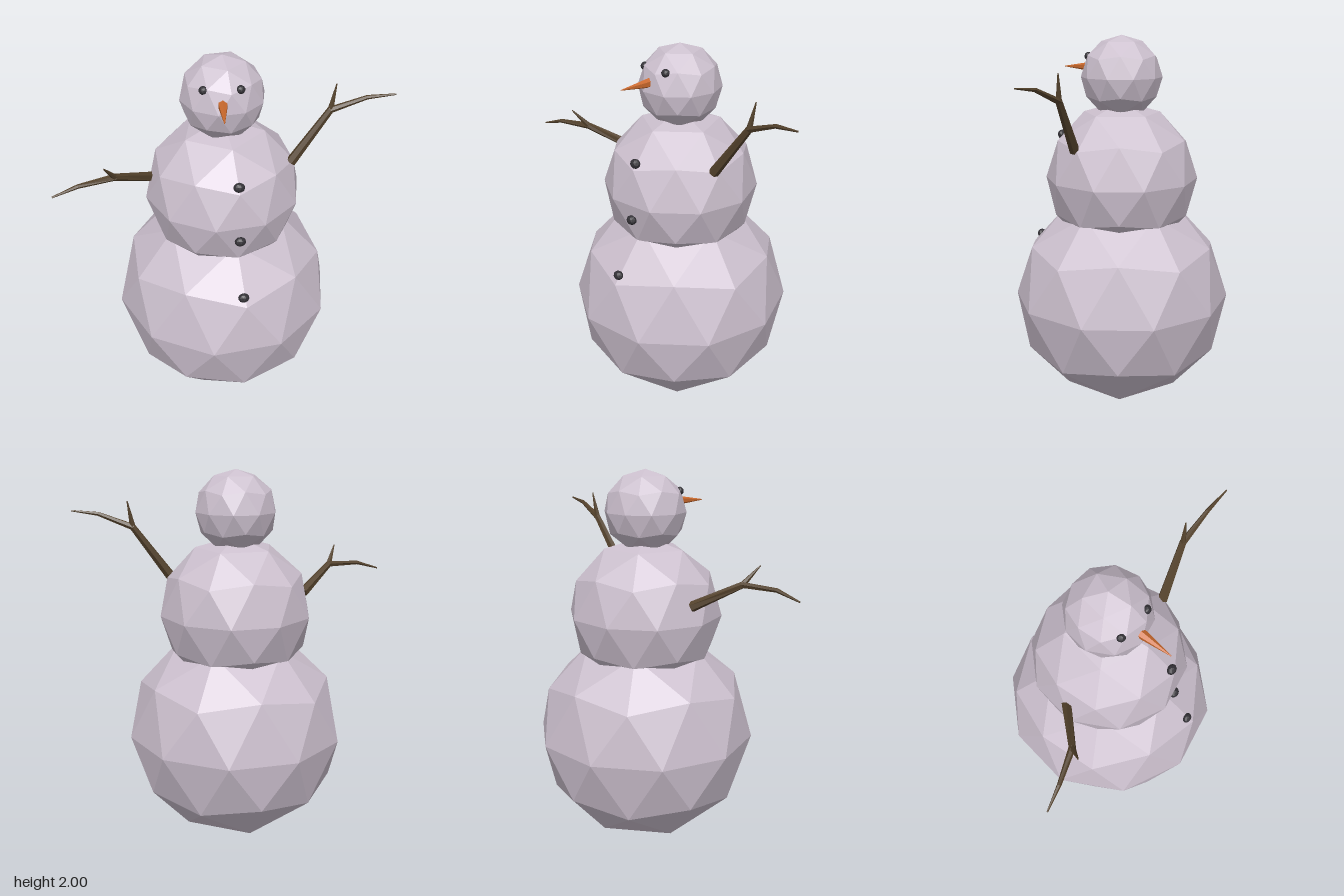
import * as THREE from 'three';

const mat = (color) => new THREE.MeshStandardMaterial({ color, flatShading: true });
const V = (p) => new THREE.Vector3(...p);

// Faceted ball with one corner pointing straight up
function ball(name, r, pos, material) {
  const geo = new THREE.IcosahedronGeometry(r, 1);
  geo.rotateZ(-Math.atan(2 / (1 + Math.sqrt(5))));
  const mesh = new THREE.Mesh(geo, material);
  mesh.name = name;
  mesh.position.set(...pos);
  return mesh;
}

// Tapered stick: one ring of corners per path point, closed at both ends
function stick(name, points, radii, material, sides = 6) {
  const path = points.map(V);
  const pos = [], idx = [];
  path.forEach((p, i) => {
    const before = path[Math.max(i - 1, 0)];
    const after = path[Math.min(i + 1, path.length - 1)];
    const dir = after.clone().sub(before).normalize();
    const u = new THREE.Vector3(0, 0, 1).addScaledVector(dir, -dir.z).normalize();
    if (Math.abs(dir.z) > 0.95) u.set(0, 1, 0).addScaledVector(dir, -dir.y).normalize();
    const v = dir.clone().cross(u);
    for (let k = 0; k < sides; k++) {
      const a = (k / sides) * Math.PI * 2;
      const q = p.clone()
        .addScaledVector(u, Math.cos(a) * radii[i])
        .addScaledVector(v, Math.sin(a) * radii[i]);
      pos.push(q.x, q.y, q.z);
    }
  });
  const last = (path.length - 1) * sides;
  for (let i = 0; i < last; i += sides) {
    for (let k = 0; k < sides; k++) {
      const a = i + k, b = i + ((k + 1) % sides);
      idx.push(a, b, b + sides, a, b + sides, a + sides);
    }
  }
  for (let k = 1; k < sides - 1; k++) {
    idx.push(0, k + 1, k);
    idx.push(last, last + k, last + k + 1);
  }
  const geo = new THREE.BufferGeometry();
  geo.setAttribute('position', new THREE.Float32BufferAttribute(pos, 3));
  geo.setIndex(idx);
  geo.computeVertexNormals();
  const mesh = new THREE.Mesh(geo, material);
  mesh.name = name;
  return mesh;
}

// Forked arm: a main branch that bends at the fork, plus a short twig
function arm(name, start, fork, bend, tip, twigTip, material) {
  const group = new THREE.Group();
  group.name = name;
  group.add(
    stick('branch', [start, fork, bend, tip], [0.027, 0.018, 0.011, 0.004], material),
    stick('twig', [fork, twigTip], [0.016, 0.003], material),
  );
  return group;
}

export function createModel() {
  const model = new THREE.Group();
  model.name = 'snowman';
  const snow = mat(0xccc0ce);
  const coal = mat(0x333136);
  const wood = mat(0x54422c);
  const carrot = mat(0xc8682c);

  // Three stacked snowballs
  model.add(
    ball('base', 0.586, [-0.03, 0.586, 0], snow),
    ball('torso', 0.408, [-0.03, 1.25, 0], snow),
    ball('head', 0.215, [-0.03, 1.785, 0], snow),
  );

  // Coal eyes, slightly flattened against the head
  for (const [name, pos, turn] of [
    ['rightEye', [-0.107, 1.89, 0.162], -0.45],
    ['leftEye', [0.07, 1.893, 0.146], 0.6],
  ]) {
    const eye = ball(name, 0.022, pos, coal);
    eye.scale.set(1, 0.95, 0.8);
    eye.rotation.set(-0.5, turn, 0, 'YXZ');
    model.add(eye);
  }

  // Coal buttons down the front
  [[0.077, 1.465, 0.33], [0.087, 1.168, 0.366], [0.113, 0.887, 0.466]].forEach((pos, i) => {
    const button = ball('button' + (i + 1), 0.029, pos, coal);
    button.scale.set(1, 0.87, 0.8);
    button.rotation.y = 0.25;
    model.add(button);
  });

  // Carrot nose
  model.add(stick('nose', [[-0.014, 1.832, 0.17], [0.01, 1.828, 0.36]], [0.028, 0.002], carrot));

  // Branch arms
  model.add(
    arm('leftArm', [0.32, 1.435, 0.027], [0.505, 1.705, -0.04],
      [0.68, 1.773, -0.055], [0.82, 1.79, -0.065], [0.527, 1.84, -0.058], wood),
    arm('rightArm', [-0.39, 1.345, 0.075], [-0.535, 1.465, 0.28],
      [-0.7, 1.46, 0.368], [-0.82, 1.422, 0.415], [-0.567, 1.56, 0.36], wood),
  );
  return model;
}
